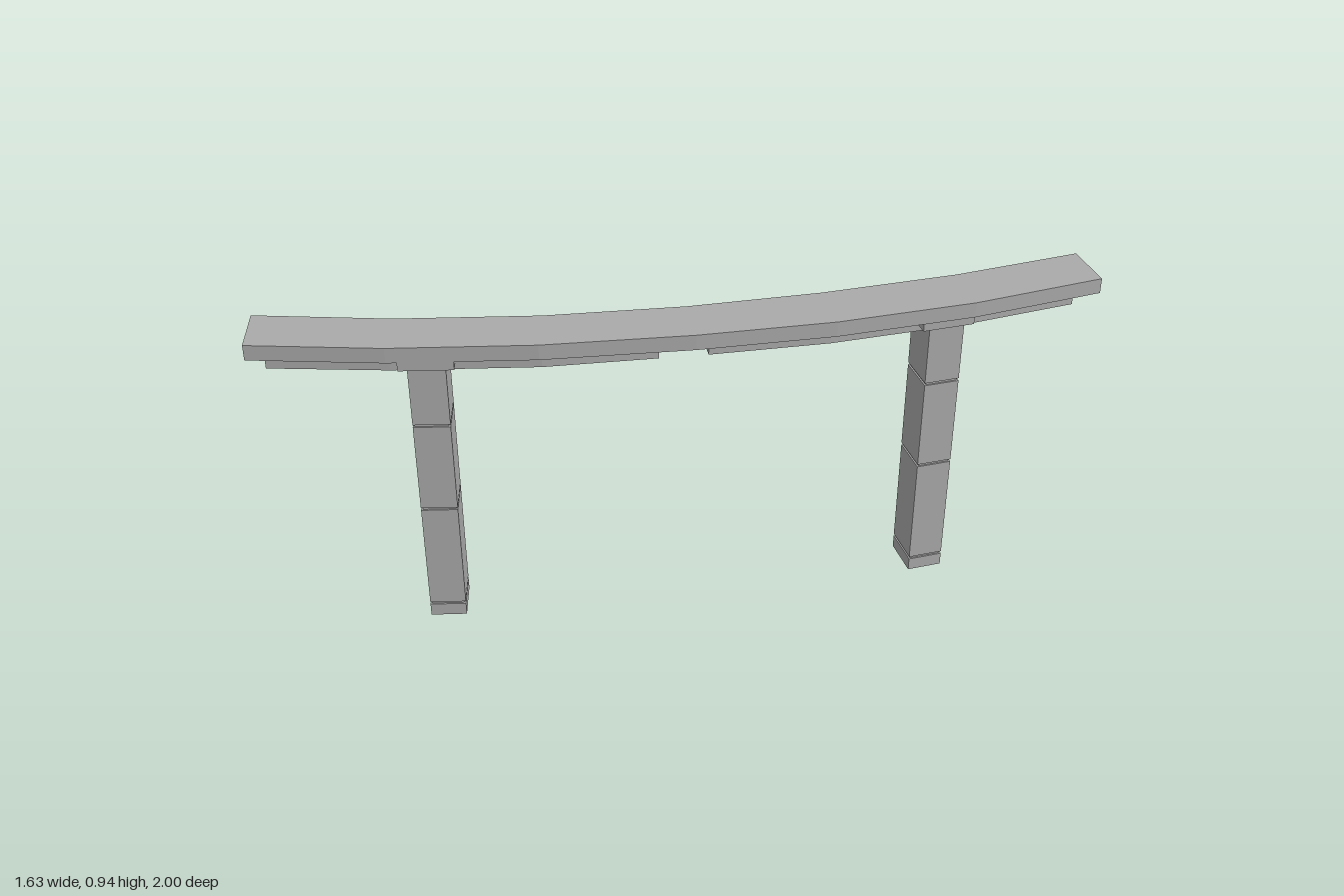
import * as THREE from 'three';

const concrete = new THREE.MeshStandardMaterial({ color: 0xaaaaaa });
concrete.name = 'concrete grey';

// Deck edges as [x, z], from the front end to the back end
const outerEdge = [[-0.82, 0.88], [-0.515, 0.625], [-0.22, 0.33], [0.04, 0.02], [0.27, -0.30], [0.49, -0.65], [0.675, -1.0]];
const innerEdge = [[-0.70, 0.995], [-0.405, 0.745], [-0.11, 0.45], [0.17, 0.12], [0.41, -0.20], [0.63, -0.55], [0.815, -0.915]];
const centreLine = outerEdge.map((p, i) => [(p[0] + innerEdge[i][0]) / 2, (p[1] + innerEdge[i][1]) / 2]);

// Flat strip between two plan edges, raised from y0 to y1
function strip(name, left, right, y0, y1) {
  const outline = [...left, ...right.slice().reverse()].map(([x, z]) => new THREE.Vector2(x, -z));
  const geo = new THREE.ExtrudeGeometry(new THREE.Shape(outline), { depth: y1 - y0, bevelEnabled: false });
  geo.rotateX(-Math.PI / 2);
  geo.translate(0, y0, 0);
  const mesh = new THREE.Mesh(geo, concrete);
  mesh.name = name;
  return mesh;
}

// Offsets a plan path sideways, keeping its width at the bends
function offset(path, d) {
  return path.map((p, i) => {
    const a = path[Math.max(i - 1, 0)], b = path[Math.min(i + 1, path.length - 1)];
    const tx = b[0] - a[0], tz = b[1] - a[1], l = Math.hypot(tx, tz);
    return [p[0] - (tz / l) * d, p[1] + (tx / l) * d];
  });
}

function box(name, w, d, y0, y1, x = 0, z = 0) {
  const mesh = new THREE.Mesh(new THREE.BoxGeometry(w, y1 - y0, d), concrete);
  mesh.position.set(x, (y0 + y1) / 2, z);
  mesh.name = name;
  return mesh;
}

// Pillar of stacked blocks with thin recessed joints; local x runs along the deck
function pillar(name, x, z, tx, tz) {
  const group = new THREE.Group();
  group.name = name;
  const along = 0.106, across = 0.126, gap = 0.004;
  const joints = [0.044, 0.39, 0.675];
  const levels = [0, ...joints, 0.89];
  for (let i = 0; i < levels.length - 1; i++) {
    const y0 = levels[i] + (i > 0 ? gap : 0);
    const y1 = levels[i + 1] - (i < joints.length ? gap : 0);
    group.add(box(i === 0 ? 'pillarFoot' : 'pillarBlock', along, across, y0, y1));
  }
  joints.forEach((y) => group.add(box('pillarJoint', along - 0.01, across - 0.01, y - gap, y + gap)));
  // Bearing blocks on both sides of the beam
  for (const s of [-1, 1]) group.add(box('bearingBlock', 0.155, 0.05, 0.863, 0.89, 0, s * 0.05));
  group.position.set(x, 0, z);
  group.rotation.y = Math.atan2(-tz, tx);
  return group;
}

export function createModel() {
  const model = new THREE.Group();
  model.name = 'curvedBridge';
  model.add(strip('deck', outerEdge, innerEdge, 0.89, 0.937));

  // Two narrow beams under the deck, with a gap between them
  const beams = [
    ['frontBeam', [[-0.72, 0.91], centreLine[1], centreLine[2], [0.04, 0.138]]],
    ['backBeam', [[0.128, 0.03], centreLine[4], centreLine[5], [0.718, -0.905]]],
  ];
  for (const [name, path] of beams) {
    model.add(strip(name, offset(path, -0.0275), offset(path, 0.0275), 0.835, 0.89));
  }

  model.add(pillar('frontPillar', -0.383, 0.615, 0.71, -0.71));
  model.add(pillar('backPillar', 0.52, -0.53, 0.52, -0.86));
  return model;
}
